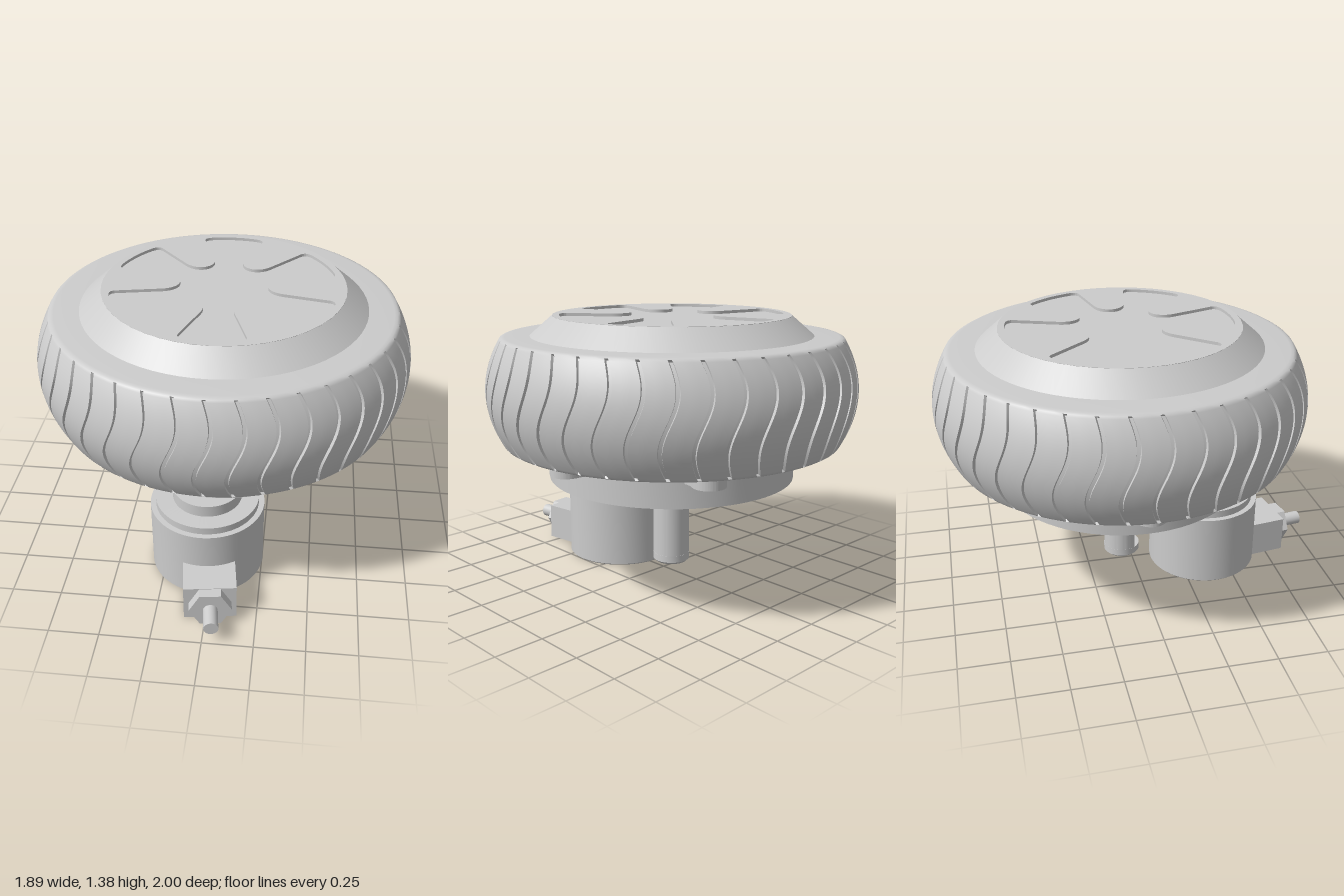
import * as THREE from 'three';
import { toCreasedNormals } from 'three/addons/utils/BufferGeometryUtils.js';

const grey = new THREE.MeshStandardMaterial({ color: 0xcccccc });
grey.name = 'light grey';

const rad = THREE.MathUtils.degToRad;

function add(parent, name, geometry, x = 0, y = 0, z = 0) {
  const mesh = new THREE.Mesh(geometry, grey);
  mesh.name = name;
  mesh.position.set(x, y, z);
  parent.add(mesh);
  return mesh;
}

// Turned part: profile runs from the bottom, round the outside, to the top
function turned(points, segments = 72) {
  const profile = points.map(([r, y]) => new THREE.Vector2(r, y));
  return toCreasedNormals(new THREE.LatheGeometry(profile, segments), 0.4);
}

// Flat shape pulled upwards
function slab(shape, depth) {
  const g = new THREE.ExtrudeGeometry(shape, { depth, bevelEnabled: false, curveSegments: 24 });
  g.rotateX(-Math.PI / 2);
  return toCreasedNormals(g, 0.5);
}

// Bulging tyre with soft shoulders and 40 wavy grooves
function tyreGeometry() {
  const middle = 1.01, rows = 24;
  const shoulder = [[0.6, 0.27], [0.838, 0.27], [0.853, 0.268], [0.864, 0.262]];
  const profile = shoulder.map(([r, h]) => new THREE.Vector2(r, middle - h));
  const first = profile.length, last = first + rows;
  for (let j = 0; j <= rows; j++) {
    const t = (j / rows) * 2 - 1;
    profile.push(new THREE.Vector2(0.943 - 0.073 * t * t, middle + 0.252 * t));
  }
  profile.push(...shoulder.reverse().map(([r, h]) => new THREE.Vector2(r, middle + h)));

  const offsets = [-0.65, -0.5, 0.5, 0.65, 3.3, 5.7];
  const g = new THREE.LatheGeometry(profile, 40 * offsets.length);
  const p = g.attributes.position;
  for (let v = 0; v < p.count; v++) {
    const i = Math.floor(v / profile.length), j = v % profile.length;
    const column = i % offsets.length;
    const y = p.getY(v);
    const wave = 2.4 * Math.sin(((y - middle) / 0.27) * Math.PI);
    const angle = rad(Math.floor(i / offsets.length) * 9 + offsets[column] + wave);
    const cut = (column === 1 || column === 2) && j >= first && j <= last;
    const r = profile[j].x - (cut ? 0.014 : 0);
    p.setXYZ(v, r * Math.sin(angle), y, r * Math.cos(angle));
  }
  return toCreasedNormals(g, 0.55);
}

// Disc with a six-armed opening between rounded tongues
function capShape() {
  const shape = new THREE.Shape();
  shape.absarc(0, 0, 0.602, 0, Math.PI * 2, false);
  const star = new THREE.Path();
  const R = 0.567;
  for (let k = 0; k < 6; k++) {
    const a = rad(k * 60);
    const at = (u, v) => [u * Math.cos(a) - v * Math.sin(a), u * Math.sin(a) + v * Math.cos(a)];
    const rim = (d) => at(R * Math.cos(rad(d)), R * Math.sin(rad(d)));
    if (k === 0) star.moveTo(...rim(-18));
    star.quadraticCurveTo(...rim(-13.5), ...at(0.52, -0.123));
    star.lineTo(...at(0.3, -0.08));
    star.bezierCurveTo(...at(0.19, -0.06), ...at(0.19, 0.06), ...at(0.3, 0.08));
    star.lineTo(...at(0.52, 0.123));
    star.quadraticCurveTo(...rim(13.5), ...rim(18));
    star.absarc(0, 0, R, a + rad(18), a + rad(42), false);
  }
  shape.holes.push(star);
  return shape;
}

// Mounting ear with a screw hole
function lugShape() {
  const s = new THREE.Shape();
  s.moveTo(0.6, -0.13);
  s.quadraticCurveTo(0.63, -0.08, 0.69, -0.08);
  s.absarc(0.69, 0, 0.08, -Math.PI / 2, Math.PI / 2, false);
  s.quadraticCurveTo(0.63, 0.08, 0.6, 0.13);
  s.closePath();
  const hole = new THREE.Path();
  hole.absarc(0.69, 0, 0.025, 0, Math.PI * 2, true);
  s.holes.push(hole);
  return s;
}

export function createModel() {
  const model = new THREE.Group();
  model.name = 'hubWheelWithMotor';

  // Wheel, lying flat
  const wheel = new THREE.Group();
  wheel.name = 'wheel';
  wheel.position.z = -0.06;
  model.add(wheel);
  add(wheel, 'tyre', tyreGeometry());
  add(wheel, 'hubCone', turned([[0.715, 1.27], [0.715, 1.28], [0.6, 1.38]]));
  add(wheel, 'hubRecessFloor', new THREE.CircleGeometry(0.61, 64).rotateX(-Math.PI / 2), 0, 1.365, 0);
  add(wheel, 'hubCap', slab(capShape(), 0.015), 0, 1.365, 0);

  // Underside: boss, dished floor, ring and thin flange
  add(wheel, 'hubUnderside', turned([
    [0, 0.655], [0.165, 0.655], [0.165, 0.675], [0.22, 0.69], [0.3, 0.705], [0.38, 0.71], [0.56, 0.71],
    [0.56, 0.55], [0.635, 0.55], [0.635, 0.73], [0.77, 0.73], [0.77, 0.75],
  ]));
  const lug = slab(lugShape(), 0.065);
  for (let k = 0; k < 6; k++) {
    add(wheel, 'mountingLug', lug, 0, 0.67, 0).rotation.y = rad(k * 60);
  }

  // Axle with a flat on its front and a full round foot
  const flat = Math.asin(0.06 / 0.095);
  const axle = new THREE.Shape();
  axle.absarc(0, 0, 0.095, -flat, Math.PI + flat, false);
  axle.closePath();
  add(wheel, 'axle', slab(axle, 0.58), 0, 0.11, 0);
  add(wheel, 'axleFoot', turned([[0, 0.062], [0.083, 0.062], [0.096, 0.074], [0.096, 0.11], [0, 0.11]], 48));

  // Motor with stepped top and output shaft
  const motor = new THREE.Group();
  motor.name = 'motor';
  motor.position.set(-0.037, 0, 0.39);
  motor.rotation.y = 0.138;
  model.add(motor);
  add(motor, 'motorBody', turned([
    [0, 0], [0.285, 0], [0.291, 0.006], [0.291, 0.38], [0.263, 0.38], [0.263, 0.418],
    [0.176, 0.418], [0.176, 0.48], [0.047, 0.48], [0.047, 0.65], [0, 0.65],
  ]));

  // Cable outlet: box, hexagonal nut and cable stub
  add(motor, 'connectorBox', new THREE.BoxGeometry(0.26, 0.192, 0.265), 0, 0.098, 0.3125);
  const nut = new THREE.CylinderGeometry(0.105, 0.105, 0.06, 6).rotateY(Math.PI / 6);
  nut.rotateX(Math.PI / 2);
  add(motor, 'hexNut', toCreasedNormals(nut, 0.4), 0, 0.1, 0.465);
  add(motor, 'cableStub', new THREE.CylinderGeometry(0.036, 0.036, 0.16, 32).rotateX(Math.PI / 2), 0, 0.1, 0.532);

  return model;
}
